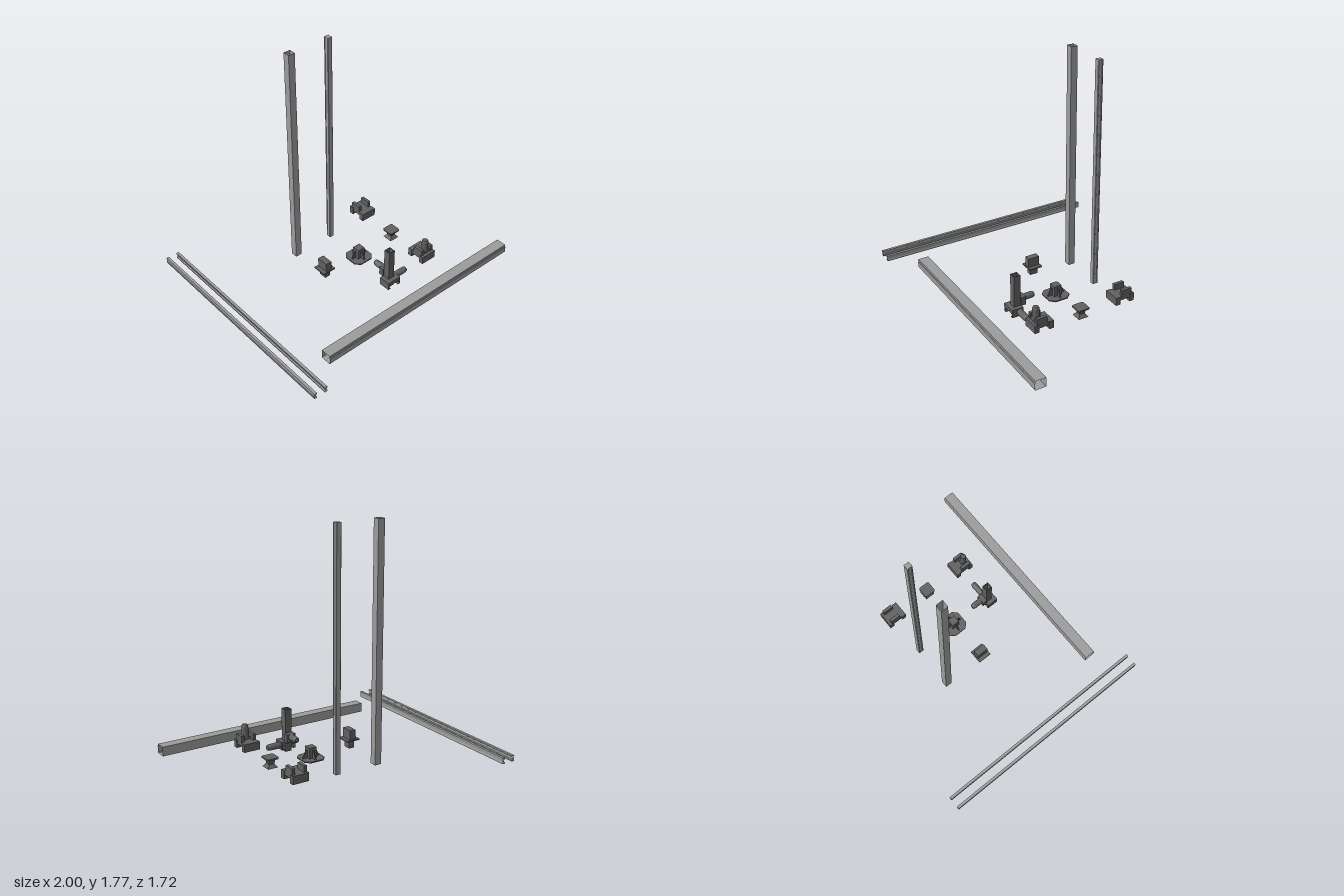
import * as THREE from 'three';

const metal = new THREE.MeshStandardMaterial({ color: 0x9c9c9c, flatShading: true, side: THREE.DoubleSide });
const plastic = new THREE.MeshStandardMaterial({ color: 0x606060, flatShading: true, side: THREE.DoubleSide });

function add(parent, name, geo, x = 0, y = 0, z = 0, mat = plastic) {
  const m = new THREE.Mesh(geo, mat);
  m.name = name;
  m.position.set(x, y, z);
  parent.add(m);
  return m;
}

// box given by its min and max corners
function box(parent, name, x0, x1, y0, y1, z0, z1) {
  return add(parent, name, new THREE.BoxGeometry(x1 - x0, y1 - y0, z1 - z0),
    (x0 + x1) / 2, (y0 + y1) / 2, (z0 + z1) / 2);
}

function group(parent, name, x, z) {
  const g = new THREE.Group();
  g.name = name;
  g.position.set(x, 0, z);
  parent.add(g);
  return g;
}

// thin sheet section swept along local z, open at both ends
function sheet(profile, length) {
  const pos = [], h = length / 2;
  for (let i = 0; i < profile.length - 1; i++) {
    const [a, b] = profile[i], [c, d] = profile[i + 1];
    pos.push(a, b, -h, c, d, -h, c, d, h, a, b, -h, c, d, h, a, b, h);
  }
  const g = new THREE.BufferGeometry();
  g.setAttribute('position', new THREE.Float32BufferAttribute(pos, 3));
  g.computeVertexNormals();
  return g;
}

// outline in plan, raised along y from 0 to height
function slab(points, height, hole) {
  const s = new THREE.Shape(points.map(p => new THREE.Vector2(...p)));
  if (hole) s.holes.push(new THREE.Path(hole.map(p => new THREE.Vector2(...p))));
  return new THREE.ExtrudeGeometry(s, { depth: height, bevelEnabled: false }).rotateX(-Math.PI / 2);
}

const square = r => [[-r, -r], [r, -r], [r, r], [-r, r]];
const chamfered = (r, c) => [[c - r, -r], [r - c, -r], [r, c - r], [r, r - c],
  [r - c, r], [c - r, r], [-r, r - c], [-r, c - r]];

// four-sided block tapering from bottom half-width to top half-width
function taper(r0, r1, h) {
  return new THREE.CylinderGeometry(r1 * Math.SQRT2, r0 * Math.SQRT2, h, 4).rotateY(Math.PI / 4);
}

// saddle clip with two legs, side ribs and an optional upright peg
function clip(root, name, z, dir, peg) {
  const g = group(root, name, 0.465, z);
  box(g, 'clipDeck', -0.058, 0.058, 0.12, 0.15, -0.06, 0.06);
  for (const s of [-1, 1]) {
    box(g, 'clipLeg', -0.063, 0.063, 0.09, 0.15, s * 0.057 - 0.018, s * 0.057 + 0.018);
    box(g, 'clipRib', s * 0.046 - 0.012, s * 0.046 + 0.012, 0.15, 0.195,
      dir * 0.015 - 0.04, dir * 0.015 + 0.04);
  }
  if (peg) {
    add(g, 'clipPeg', new THREE.CylinderGeometry(0.025, 0.025, 0.105, 12), 0, 0.1975, 0.03);
    add(g, 'pegTip', new THREE.CylinderGeometry(0.019, 0.025, 0.01, 12), 0, 0.255, 0.03);
    box(g, 'pegWeb', -0.055, 0.055, 0.15, 0.17, 0.01, 0.05);
  }
}

// round spigot with a chamfered tip, pointing along local y
function spigot(parent, name, x, y, z) {
  const profile = [[0, -0.055], [0.024, -0.055], [0.024, 0.038], [0.018, 0.055], [0, 0.055]];
  return add(parent, name, new THREE.LatheGeometry(profile.map(p => new THREE.Vector2(...p)), 12), x, y, z);
}

export function createModel() {
  const root = new THREE.Group();
  root.name = 'frameKit';

  // pair of side rails, a deep groove facing inwards and a shallow one outwards
  for (const [x, s] of [[-0.99, 1], [-0.905, -1]]) {
    const p = [[-1, 0.07], [1, 0.07], [1, 0.08], [0.2, 0.084], [0.2, 0.1], [1, 0.105], [1, 0.115],
      [-1, 0.115], [-1, 0.103], [-0.8, 0.1], [-0.8, 0.084], [-1, 0.081], [-1, 0.07]];
    add(root, 'sideRail', sheet(p.map(([a, y]) => [a * s * 0.01, y]), 1.72), x, 0, 0, metal);
  }

  // front channel, stepped along its front
  const channel = [[-0.042, 0.05], [0.036, 0.05], [0.042, 0.056], [0.042, 0.1], [0.037, 0.103],
    [0.037, 0.12], [-0.042, 0.12], [-0.042, 0.05]];
  const beam = add(root, 'frontChannel', sheet(channel.map(([z, y]) => [-z, y]), 1.725),
    0.1375, 0, 0.643, metal);
  beam.rotation.y = Math.PI / 2;

  // wide hollow post
  const wide = add(root, 'widePost', sheet([...square(0.026), [-0.026, -0.026]], 1.725),
    -0.195, 0.9125, -0.33, metal);
  wide.rotation.x = -Math.PI / 2;

  // narrow post with softened corners and a shallow groove on two sides
  const half = [[-0.017, -0.02], [0.017, -0.02], [0.02, -0.017], [0.02, -0.012], [0.0175, -0.01]];
  const narrow = [...half, [0.0175, 0.01], [0.02, 0.012], [0.02, 0.017], [0.017, 0.02],
    [-0.017, 0.02], [-0.02, 0.017], [-0.02, 0.012], [-0.0175, 0.01],
    [-0.0175, -0.01], [-0.02, -0.012], [-0.02, -0.017]];
  add(root, 'narrowPost', slab(narrow, 1.725), 0.135, 0.05, -0.33, metal);

  // post plug with a flange
  const plug = group(root, 'postPlug', -0.195, 0);
  box(plug, 'plugFlange', -0.053, 0.053, 0.124, 0.134, -0.053, 0.053);
  box(plug, 'plugTop', -0.024, 0.024, 0.134, 0.205, -0.045, 0.045);
  box(plug, 'plugBottom', -0.022, 0.022, 0.065, 0.124, -0.03, 0.03);

  // octagonal foot with cross ribs
  const foot = group(root, 'octagonFoot', 0.135, 0);
  add(foot, 'footPlate', slab(chamfered(0.085, 0.035), 0.009), 0, 0.051, 0);
  box(foot, 'footSocket', -0.03, 0.03, 0.06, 0.14, -0.03, 0.03);
  for (let i = 0; i < 2; i++) {
    const rib = slab([[-0.068, 0.06], [0.068, 0.06], [0.04, 0.12], [-0.04, 0.12]], 0.008)
      .translate(0, -0.004, 0).rotateX(Math.PI / 2);
    add(foot, 'footRib', rib).rotation.y = i * Math.PI / 2;
  }

  // small pedestal with a square top
  const pedestal = group(root, 'pedestal', 0.465, 0);
  add(pedestal, 'pedestalTop', slab(chamfered(0.046, 0.008), 0.011), 0, 0.125, 0);
  add(pedestal, 'pedestalNeck', taper(0.02, 0.028, 0.04), 0, 0.106, 0);
  add(pedestal, 'pedestalBase', taper(0.04, 0.02, 0.026), 0, 0.075, 0);

  clip(root, 'rearClip', -0.33, -1, false);
  clip(root, 'frontClip', 0.33, 1, true);

  // corner joint: open upright sleeve, hooked collar and two spigots
  const joint = group(root, 'cornerJoint', 0.135, 0.33);
  add(joint, 'jointSleeve', slab(square(0.026), 0.325, square(0.021).reverse()));
  add(joint, 'jointCollar', slab([[-0.058, -0.06], [0.058, -0.06], [0.058, 0.03], [-0.058, 0.03]],
    0.03, square(0.026).reverse()), 0, 0.05, 0);
  for (const s of [-1, 1]) {
    box(joint, 'collarWall', s * 0.054 - 0.004, s * 0.054 + 0.004, 0.02, 0.05, -0.03, 0.06);
    box(joint, 'collarHook', s * 0.047 - 0.011, s * 0.047 + 0.011, 0.018, 0.025, -0.03, 0.06);
  }
  spigot(joint, 'sideSpigot', 0.112, 0.053, 0).rotation.z = -Math.PI / 2;
  spigot(joint, 'rearSpigot', 0, 0.122, -0.09).rotation.x = -Math.PI / 2;
  box(joint, 'spigotBlock', -0.035, 0.035, 0.08, 0.145, -0.065, -0.026);

  return root;
}
